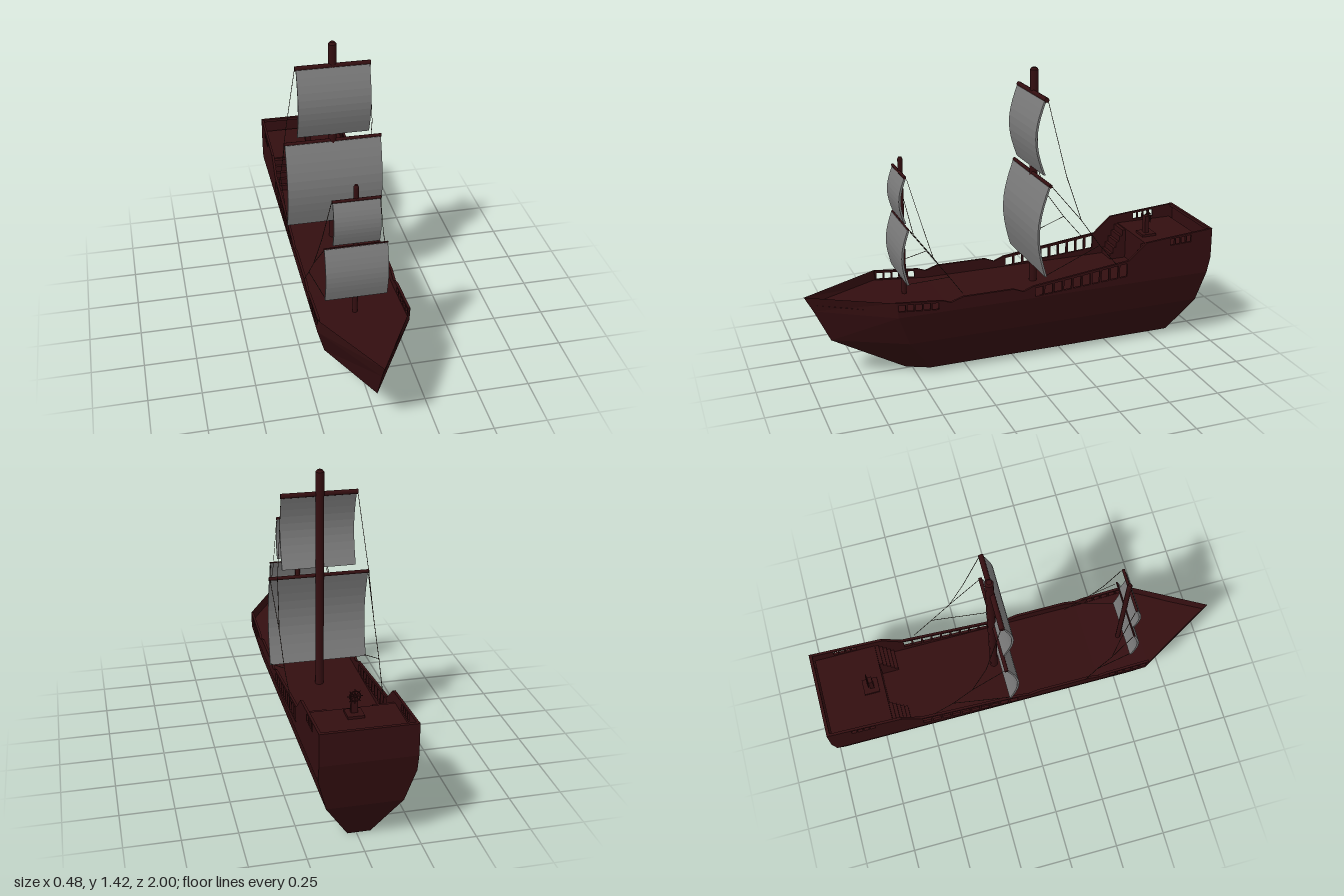
import * as THREE from 'three';

const wood = new THREE.MeshStandardMaterial({ color: 0x330e10, side: THREE.DoubleSide });
wood.name = 'dark red wood';
const canvas = new THREE.MeshStandardMaterial({ color: 0x7c7c7c, side: THREE.DoubleSide });
canvas.name = 'grey canvas';
const ropeMat = new THREE.MeshStandardMaterial({ color: 0x2e2019 });
ropeMat.name = 'rope brown';

function add(parent, name, geometry, material, x = 0, y = 0, z = 0) {
  const mesh = new THREE.Mesh(geometry, material);
  mesh.name = name;
  mesh.position.set(x, y, z);
  parent.add(mesh);
  return mesh;
}

function flat(geometry) {
  const g = geometry.index ? geometry.toNonIndexed() : geometry;
  g.computeVertexNormals();
  return g;
}

// Flat-faced skin between rows of points
function loft(rows, closed) {
  const pos = [];
  for (let i = 0; i + 1 < rows.length; i++) {
    const n = rows[i].length;
    for (let j = 0; j < (closed ? n : n - 1); j++) {
      const k = (j + 1) % n;
      const a = rows[i][j], b = rows[i][k], c = rows[i + 1][k], d = rows[i + 1][j];
      pos.push(...a, ...b, ...c, ...a, ...c, ...d);
    }
  }
  const g = new THREE.BufferGeometry();
  g.setAttribute('position', new THREE.Float32BufferAttribute(pos, 3));
  return flat(g);
}

function rod(parent, name, a, b, radius, material, sides = 5) {
  const from = new THREE.Vector3(...a), dir = new THREE.Vector3(...b).sub(from);
  const m = add(parent, name, new THREE.CylinderGeometry(radius, radius, dir.length(), sides), material);
  m.position.copy(from).addScaledVector(dir, 0.5);
  m.quaternion.setFromUnitVectors(new THREE.Vector3(0, 1, 0), dir.normalize());
}

const HALF = 0.2125;

function buildHull() {
  const hull = new THREE.Group();
  hull.name = 'hull';

  // Lower hull: height, half width, stern z, shoulder z, bow z
  const levels = [
    [0, 0.052, -0.855, 0.42, 0.53],
    [0.2, 0.17, -0.95, 0.55, 0.885],
    [0.36, HALF, -0.983, 0.61, 0.96],
  ].map(([y, w, s, m, b]) => [[w, y, s], [-w, y, s], [-w, y, m], [0, y, b], [w, y, m]]);
  add(hull, 'lowerHull', loft(levels, true), wood);
  const keel = new THREE.Shape(levels[0].map(([x, , z]) => new THREE.Vector2(x, z)));
  add(hull, 'keelPlate', new THREE.ShapeGeometry(keel).rotateX(Math.PI / 2), wood);

  // Bow bulwark and transom
  add(hull, 'bowBulwark', loft([
    [[-HALF, 0.36, 0.61], [0, 0.36, 0.96], [HALF, 0.36, 0.61]],
    [[-HALF, 0.435, 0.62], [0, 0.435, 1], [HALF, 0.435, 0.62]],
  ]), wood);
  add(hull, 'transom', loft([[0.36, -0.983], [0.44, -1], [0.59, -1]]
    .map(([y, z]) => [[HALF, y, z], [-HALF, y, z]])), wood);
  add(hull, 'sternRail', new THREE.BoxGeometry(HALF * 2, 0.015, 0.015), wood, 0, 0.583, -0.9925);

  // Side bulwarks with railing openings
  const side = new THREE.Shape([
    [0.61, 0.36], [0.62, 0.435], [0.4, 0.415], [0.36, 0.4], [0.3, 0.42], [0.05, 0.42], [0, 0.4],
    [-0.05, 0.42], [-0.55, 0.48], [-0.64, 0.56], [-0.75, 0.57], [-1, 0.59], [-1, 0.44], [-0.983, 0.36],
  ].map(p => new THREE.Vector2(...p)));
  // Start z, end z, bottom and top heights at both ends, count
  for (const [z0, z1, b0, b1, t0, t1, n] of [
    [0.608, 0.41, 0.39, 0.373, 0.423, 0.406, 5],
    [-0.06, -0.55, 0.366, 0.4, 0.409, 0.468, 10],
    [-0.77, -0.89, 0.53, 0.535, 0.562, 0.572, 4],
  ]) {
    const at = (a, b, t) => a + (b - a) * t;
    for (let i = 0; i < n; i++) {
      const s = i / n, e = (i + 0.8) / n;
      side.holes.push(new THREE.Path([
        [at(z0, z1, s), at(b0, b1, s)], [at(z0, z1, e), at(b0, b1, e)],
        [at(z0, z1, e), at(t0, t1, e)], [at(z0, z1, s), at(t0, t1, s)],
      ].map(p => new THREE.Vector2(...p))));
    }
  }
  const wall = new THREE.ExtrudeGeometry(side, { depth: 0.012, bevelEnabled: false }).rotateY(-Math.PI / 2);
  add(hull, 'leftBulwark', wall, wood, HALF);
  add(hull, 'rightBulwark', wall, wood, -HALF + 0.012);

  // Main deck and foredeck: z, half width, height
  add(hull, 'deck', loft([[-0.69, 0.205, 0.365], [0.36, 0.205, 0.365], [0.62, 0.205, 0.387], [0.975, 0.002, 0.395]]
    .map(([z, w, y]) => [[-w, y, z], [w, y, z]])), wood);

  // Quarterdeck with a flight of steps on each side
  add(hull, 'quarterdeck', new THREE.BoxGeometry(0.405, 0.16, 0.3), wood, 0, 0.44, -0.832);
  for (const s of [-1, 1]) {
    for (let i = 0; i < 5; i++) {
      const h = 0.03 * (i + 1);
      add(hull, 'step', new THREE.BoxGeometry(0.1, h, 0.018), wood, s * 0.152, 0.365 + h / 2, -0.606 - i * 0.0165);
    }
  }
  return hull;
}

// Steering wheel on its pedestal
function buildHelm() {
  const helm = new THREE.Group();
  helm.name = 'helm';
  helm.position.set(-0.012, 0.52, -0.745);
  add(helm, 'helmBase', new THREE.BoxGeometry(0.075, 0.012, 0.075), wood, 0, 0.006, 0);
  add(helm, 'helmPost', new THREE.BoxGeometry(0.03, 0.1, 0.02), wood, 0, 0.05, 0.005);
  add(helm, 'wheelRim', new THREE.TorusGeometry(0.024, 0.003, 5, 16), wood, 0, 0.093, -0.009);
  for (let i = 0; i < 4; i++) {
    const a = i * Math.PI / 4, x = Math.cos(a) * 0.034, y = Math.sin(a) * 0.034;
    rod(helm, 'wheelSpoke', [-x, 0.093 - y, -0.009], [x, 0.093 + y, -0.009], 0.002, wood);
  }
  return helm;
}

// Mast with its yards and bulging square sails, at the mast's own origin
function buildMast(name, x, z, base, top, radius, sails) {
  const mast = new THREE.Group();
  mast.name = name;
  mast.position.set(x, 0, z);
  add(mast, 'pole', new THREE.CylinderGeometry(radius, radius, top - base - 0.01, 10), wood, 0, (top + base) / 2 - 0.005, 0);
  add(mast, 'poleCap', new THREE.CylinderGeometry(radius * 0.6, radius, 0.01, 10), wood, 0, top - 0.005, 0);
  for (const { half, y1, y0, zTop, zBottom, bulge, yard } of sails) {
    const g = new THREE.BoxGeometry(half * 2, y1 - y0, 0.01, 1, 10, 1);
    const p = g.attributes.position;
    for (let i = 0; i < p.count; i++) {
      const t = p.getY(i) / (y1 - y0) + 0.5;
      p.setZ(i, p.getZ(i) + zBottom + (zTop - zBottom) * t + bulge * Math.sin(Math.PI * t));
    }
    add(mast, 'sail', flat(g), canvas, 0, (y0 + y1) / 2, 0);
    const reach = half + yard * 0.4;
    rod(mast, 'yard', [-reach, y1 + yard * 0.4, 0.008], [reach, y1 + yard * 0.4, 0.008], yard, wood, 8);
  }
  return mast;
}

// Mirrored rigging lines
function addRigging(mast, lines) {
  for (const s of [-1, 1])
    for (const line of lines)
      for (let i = 0; i + 1 < line.length; i++) {
        const [a, b] = [line[i], line[i + 1]].map(([x, y, z]) => [x * s, y, z]);
        rod(mast, 'rope', a, b, 0.0015, ropeMat, 4);
      }
}

export function createModel() {
  const ship = new THREE.Group();
  ship.name = 'sailingShip';

  const hull = buildHull();
  hull.position.x = -0.012;
  ship.add(hull, buildHelm());

  const main = buildMast('mainMast', -0.002, -0.125, 0.36, 1.425, 0.02, [
    { half: 0.234, y1: 0.915, y0: 0.474, zTop: 0.012, zBottom: 0.026, bulge: 0.045, yard: 0.009 },
    { half: 0.174, y1: 1.305, y0: 0.955, zTop: 0.014, zBottom: 0.014, bulge: 0.041, yard: 0.012 },
  ]);
  addRigging(main, [
    [[0.178, 1.3, 0], [0.213, 0.95, -0.08], [0.222, 0.73, -0.155]],
    [[0.232, 0.915, 0], [0.222, 0.73, -0.155], [0.22, 0.59, -0.255], [0.212, 0.47, -0.355]],
    [[0.23, 0.48, 0.02], [0.22, 0.59, -0.255]],
  ]);

  const fore = buildMast('foreMast', -0.032, 0.52, 0.37, 1.053, 0.012, [
    { half: 0.143, y1: 0.745, y0: 0.475, zTop: 0.008, zBottom: 0.016, bulge: 0.027, yard: 0.004 },
    { half: 0.105, y1: 0.982, y0: 0.765, zTop: 0.006, zBottom: 0.012, bulge: 0.025, yard: 0.007 },
  ]);
  addRigging(fore, [
    [[0.108, 0.975, 0], [0.14, 0.75, -0.06], [0.17, 0.6, -0.1]],
    [[0.142, 0.735, 0], [0.17, 0.6, -0.1], [0.18, 0.505, -0.17], [0.193, 0.42, -0.23]],
    [[0.14, 0.48, 0.01], [0.18, 0.505, -0.17]],
  ]);

  ship.add(main, fore);
  return ship;
}
